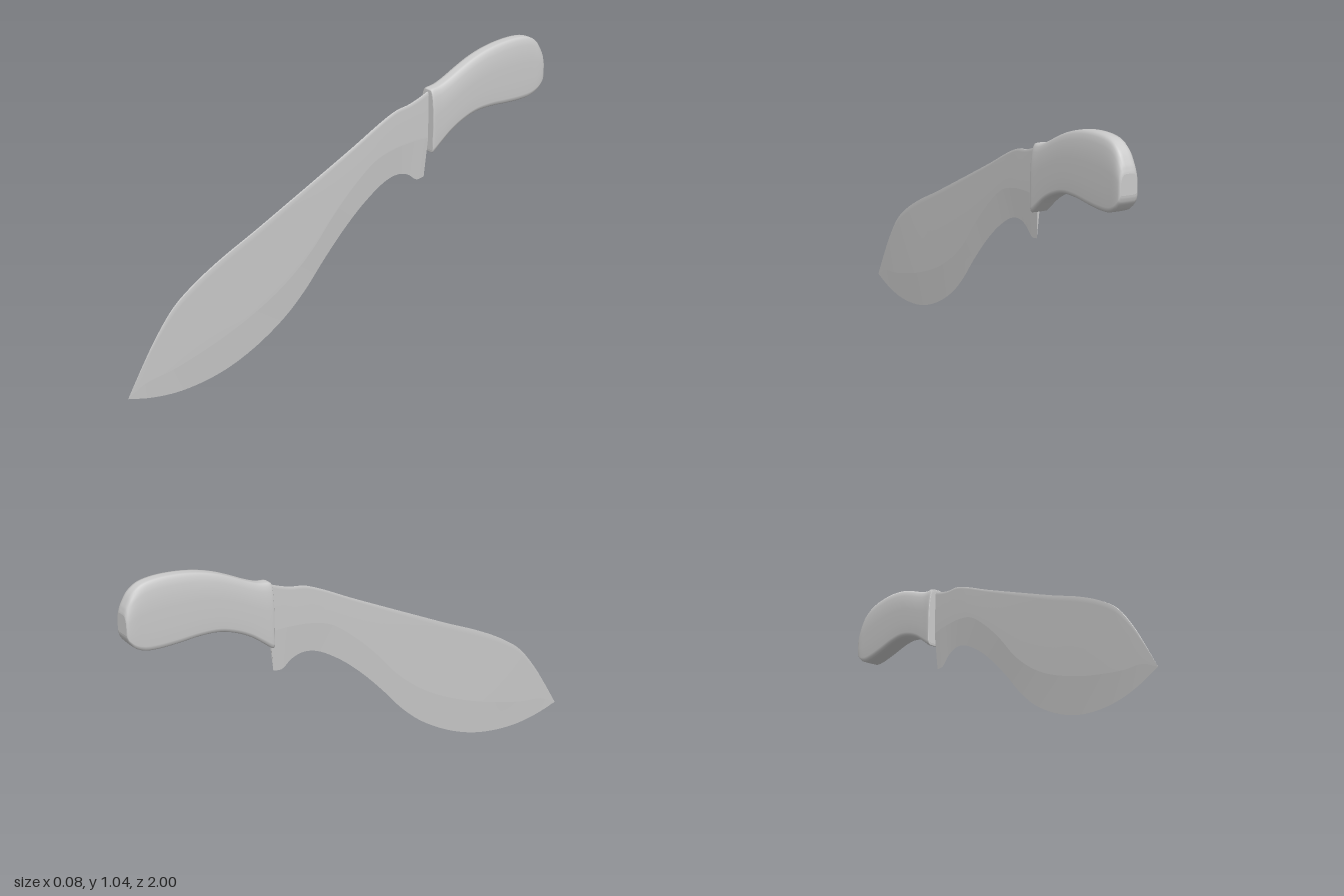
import * as THREE from 'three';

const material = new THREE.MeshStandardMaterial({ color: 0xcccccc, side: THREE.DoubleSide });

// Skin over closed rings that run front to back; repeated ring points make hard edges.
function loft(name, rings, capFront) {
  const n = rings[0].length, pos = [], idx = [];
  rings.forEach(r => r.forEach(p => pos.push(...p)));
  for (let i = 0; i < rings.length - 1; i++) {
    for (let j = 0; j < n; j++) {
      const k = (j + 1) % n;
      if (rings[i + 1][j].every((v, q) => v === rings[i + 1][k][q])) continue;
      const a = i * n + j, b = i * n + k, c = a + n, d = b + n;
      idx.push(a, b, c, b, d, c);
    }
  }
  const cap = (ring, front) => {
    const base = pos.length / 3;
    ring.forEach(p => pos.push(...p));
    pos.push(...[0, 1, 2].map(q => ring.reduce((s, p) => s + p[q], 0) / n));
    for (let j = 0; j < n; j++) {
      const k = (j + 1) % n;
      idx.push(base + n, base + (front ? k : j), base + (front ? j : k));
    }
  };
  if (capFront) cap(rings[0], true);
  cap(rings[rings.length - 1], false);
  const geo = new THREE.BufferGeometry();
  geo.setAttribute('position', new THREE.Float32BufferAttribute(pos, 3));
  geo.setIndex(idx);
  geo.computeVertexNormals();
  const mesh = new THREE.Mesh(geo, material);
  mesh.name = name;
  return mesh;
}

// Smooth curves through matching columns of a station table
const column = (table, pick) =>
  new THREE.CatmullRomCurve3(table.map(s => new THREE.Vector3(...pick(s))), false, 'centripetal');

// Mirror half a section (top to bottom, +x side) into a full ring
const mirrored = half => [...half, ...half.slice().reverse().map(([x, y, z]) => [-x, y, z])];

function blade() {
  // half thickness, then z, y of the spine, the grind line and the cutting edge
  const stations = [
    [0, 1, 0.045, 1, 0.045, 1, 0.045],
    [0.002, 0.93, 0.16, 0.92, 0.085, 0.9, 0.018],
    [0.004, 0.87, 0.25, 0.82, 0.1, 0.77, 0.003],
    [0.006, 0.79, 0.345, 0.7, 0.13, 0.6, 0.02],
    [0.007, 0.7, 0.41, 0.57, 0.17, 0.45, 0.07],
    [0.007, 0.58, 0.475, 0.4, 0.24, 0.3, 0.155],
    [0.007, 0.42, 0.547, 0.28, 0.31, 0.2, 0.24],
    [0.007, 0.25, 0.627, 0.17, 0.4, 0.1, 0.35],
    [0.007, 0.1, 0.698, 0.07, 0.51, 0, 0.45],
    [0.007, -0.04, 0.765, -0.03, 0.605, -0.1, 0.532],
    [0.007, -0.18, 0.835, -0.14, 0.685, -0.2, 0.59],
    [0.007, -0.25, 0.863, -0.23, 0.712, -0.26, 0.601],
    [0.007, -0.31, 0.873, -0.3, 0.72, -0.31, 0.588],
    [0.007, -0.36, 0.888, -0.36, 0.722, -0.355, 0.557],
    [0.007, -0.415, 0.91, -0.406, 0.72, -0.392, 0.56]
  ];
  const spine = column(stations, s => [s[0], s[2], s[1]]);
  const grind = column(stations, s => [s[0], s[4], s[3]]);
  const edge = column(stations, s => [0, s[6], s[5]]);
  const rings = [];
  for (let i = 0; i <= 84; i++) {
    const t = i / 84;
    const s = spine.getPoint(t), g = grind.getPoint(t), e = edge.getPoint(t);
    const shoulder = s.clone().lerp(g, 0.07), top = [s.x * 0.5, s.y, s.z];
    const bevel = g.toArray(), tip = e.toArray();
    rings.push(mirrored([top, top, shoulder.toArray(), bevel, bevel, tip]));
  }
  return loft('blade', rings, false);
}

function handle() {
  // width factor, z, top y, bottom y
  const stations = [
    [0.9, -0.405, 0.908, 0.674], [1, -0.413, 0.92, 0.666], [1, -0.45, 0.925, 0.695],
    [1, -0.5, 0.944, 0.732], [1, -0.56, 0.973, 0.763], [1, -0.63, 1.003, 0.785],
    [1, -0.71, 1.026, 0.79], [1, -0.8, 1.039, 0.785], [1, -0.88, 1.04, 0.784],
    [1, -0.93, 1.03, 0.79], [1, -0.965, 1.006, 0.806], [0.97, -0.988, 0.97, 0.83],
    [0.9, -0.997, 0.947, 0.848], [0.8, -1, 0.935, 0.862]
  ];
  // x and share of the height of the rounded section
  const section = [[0.01, 1], [0.02, 0.995], [0.027, 0.95], [0.032, 0.87], [0.036, 0.74],
    [0.0385, 0.58], [0.0385, 0.3], [0.0385, 0.08], [0.036, 0.03], [0.029, 0.003], [0.01, 0]];
  const top = column(stations, s => [s[0], s[2], s[1]]);
  const bottom = column(stations, s => [s[0], s[3], s[1]]);
  const rings = [];
  for (let i = 0; i <= 52; i++) {
    const a = top.getPoint(i / 52), b = bottom.getPoint(i / 52);
    rings.push(mirrored(section.map(([x, h]) =>
      [x * a.x, THREE.MathUtils.lerp(b.y, a.y, h), THREE.MathUtils.lerp(b.z, a.z, h)])));
  }
  return loft('handle', rings, true);
}

export function createModel() {
  const model = new THREE.Group();
  model.name = 'curvedKnife';
  model.add(blade(), handle());
  return model;
}
